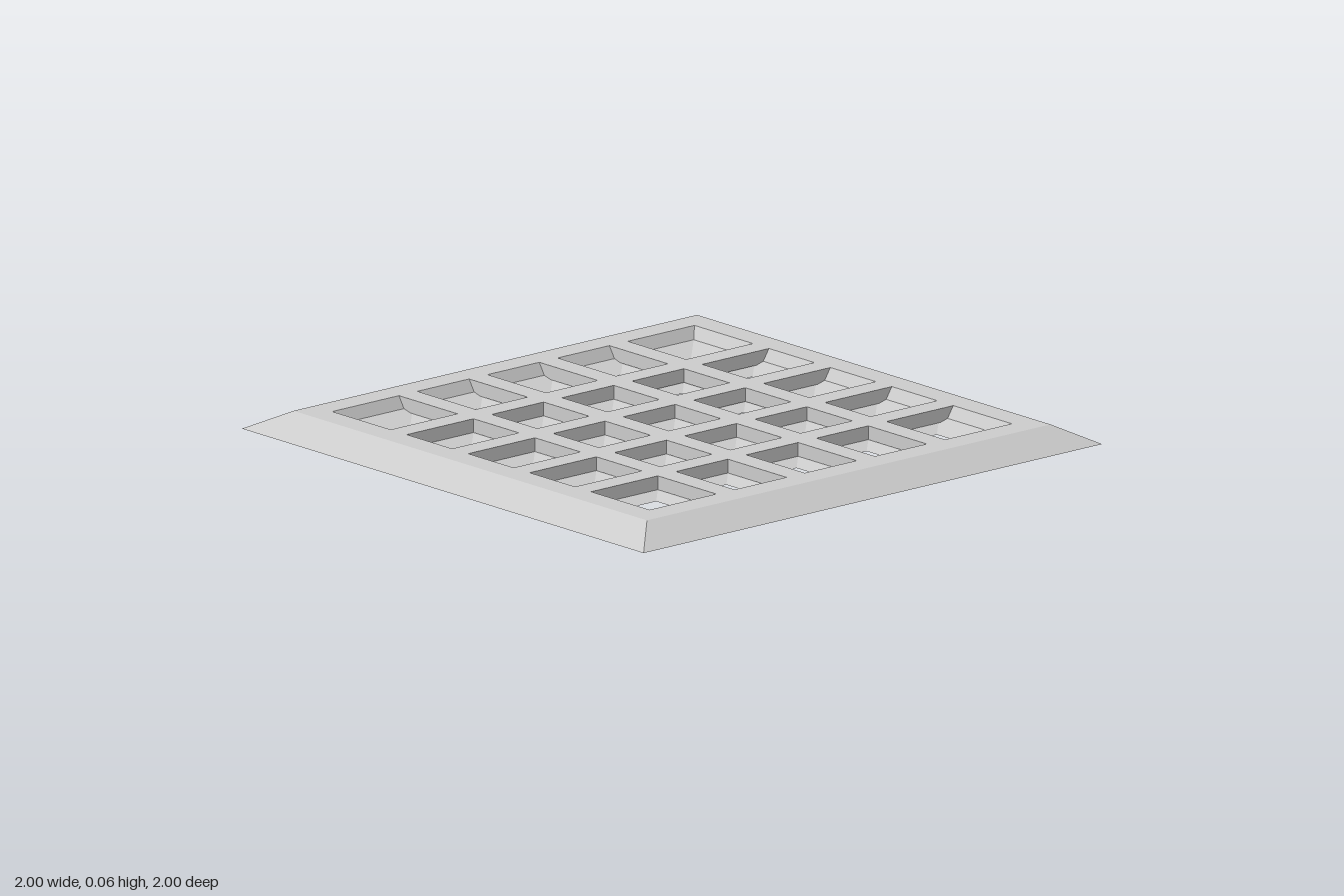
import * as THREE from 'three';

const TOP = 0.064, FLOOR = 0.025;

const material = new THREE.MeshStandardMaterial({
  color: 0xcccccc, flatShading: true, side: THREE.DoubleSide,
});

// Four mitred faces joining two level rectangles {x0, x1, z0, z1, y}, facing up
function band(outer, inner) {
  const corners = r => [[r.x0, r.y, r.z0], [r.x0, r.y, r.z1], [r.x1, r.y, r.z1], [r.x1, r.y, r.z0]];
  const o = corners(outer), n = corners(inner), points = [];
  for (let i = 0; i < 4; i++) {
    const j = (i + 1) % 4;
    points.push(...o[i], ...o[j], ...n[j], ...o[i], ...n[j], ...n[i]);
  }
  const geometry = new THREE.BufferGeometry();
  geometry.setAttribute('position', new THREE.Float32BufferAttribute(points, 3));
  geometry.computeVertexNormals();
  return geometry;
}

const rect = (x, z, hx, hz, y) => ({ x0: x - hx, x1: x + hx, z0: z - hz, z1: z + hz, y });
const square = (half, y) => rect(0, 0, half, half, y);

function add(parent, name, geometry) {
  const mesh = new THREE.Mesh(geometry, material);
  mesh.name = name;
  parent.add(mesh);
  return mesh;
}

// Flat bar along z with blunt tapered ends that tuck under the rim
function barGeometry() {
  const shape = new THREE.Shape([
    [-0.04, -0.8], [-0.022, -0.84], [0.022, -0.84], [0.04, -0.8],
    [0.04, 0.8], [0.022, 0.84], [-0.022, 0.84], [-0.04, 0.8],
  ].map(p => new THREE.Vector2(...p)));
  const geometry = new THREE.ExtrudeGeometry(shape, { depth: TOP - FLOOR + 0.008, bevelEnabled: false });
  return geometry.rotateX(-Math.PI / 2).translate(0, FLOOR - 0.008, 0);
}

export function createModel() {
  const model = new THREE.Group();
  model.name = 'grate';

  // Hollow frame: sloped outside, flat rim, steep inside
  const frame = new THREE.Group();
  frame.name = 'frame';
  model.add(frame);
  add(frame, 'outerSlope', band(square(1, 0), square(0.88, TOP)));
  add(frame, 'rim', band(square(0.88, TOP), square(0.79, TOP)));
  add(frame, 'innerWall', band(square(0.79, TOP), square(0.765, FLOOR)));

  // Crossing bars
  const bars = new THREE.Group();
  bars.name = 'bars';
  model.add(bars);
  const geometry = barGeometry();
  for (const p of [-0.459, -0.153, 0.153, 0.459]) {
    add(bars, 'lengthwiseBar', geometry).position.x = p;
    const cross = add(bars, 'crosswiseBar', geometry);
    cross.rotation.y = Math.PI / 2;
    cross.position.z = p;
  }

  // Shallow funnels with a square hole in each cell, some holes slightly uneven
  const holes = [
    [0.055, 0.062, 0.056, 0.056, 0.055],
    [0.058, 0.062, 0.061, 0.057, 0.056],
    [0.055, 0.055, 0.057, 0.050, 0.055],
    [0.058, 0.049, 0.055, 0.056, 0.055],
    [0.050, 0.056, 0.056, 0.056, 0.055],
  ];
  const funnels = new THREE.Group();
  funnels.name = 'funnels';
  model.add(funnels);
  holes.forEach((row, r) => row.forEach((half, c) => {
    const x = (c - 2) * 0.306, z = (r - 2) * 0.306;
    add(funnels, 'funnel', band(rect(x, z, 0.153, 0.153, FLOOR), rect(x, z, half, half, 0)));
  }));
  return model;
}
